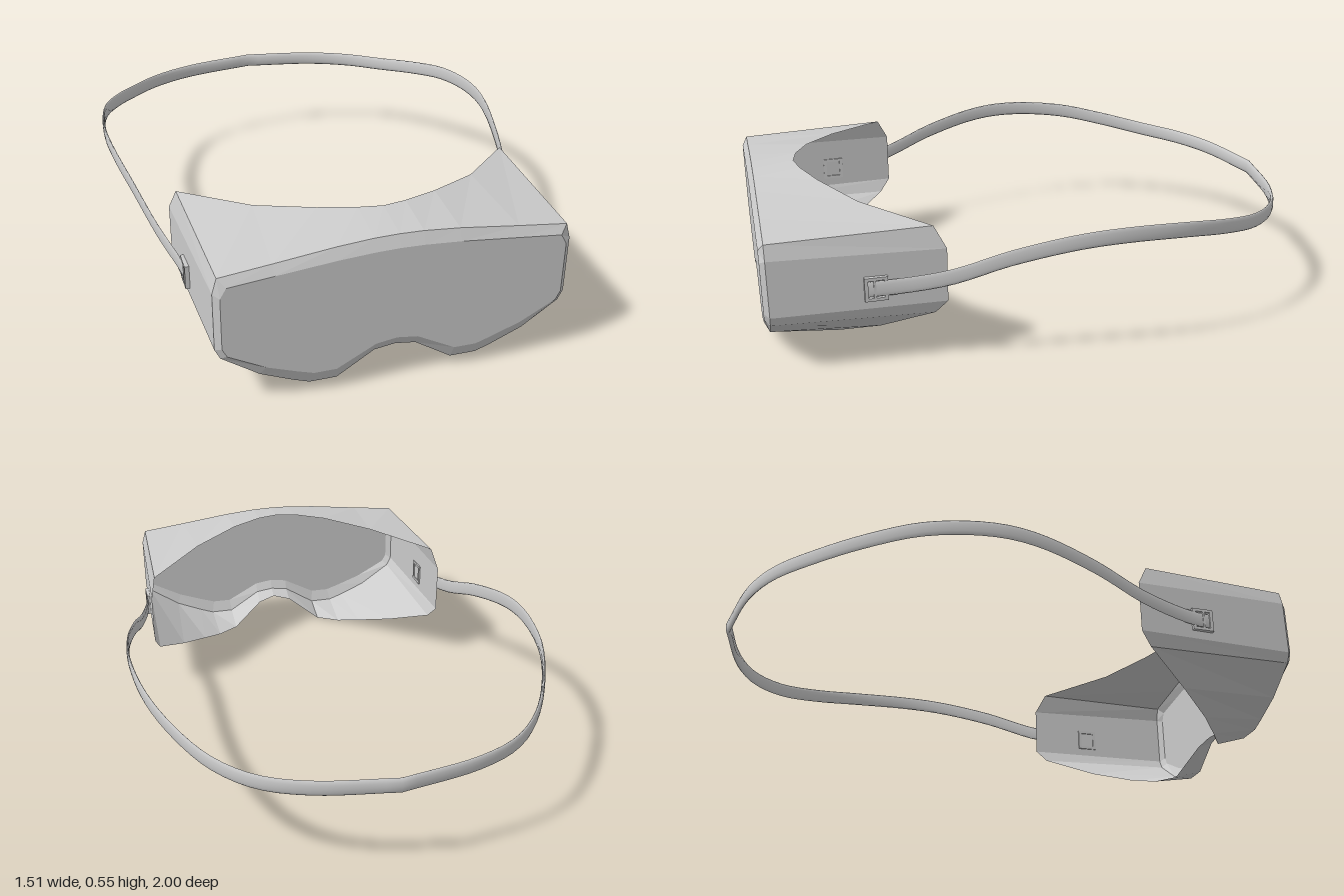
import * as THREE from 'three';

const grey = (opts = {}) => new THREE.MeshStandardMaterial({ color: 0xcccccc, side: THREE.DoubleSide, ...opts });

// Half outlines run from top centre, round the left side, to the nose bridge.
const FACE = [[0, .49], [.08, .488], [.2, .48], [.4, .46], [.545, .445], [.565, .41], [.565, .23],
  [.55, .2], [.43, .135], [.335, .1], [.275, .08], [.2, .08], [.07, .15], [0, .16]]
  .map(([x, y]) => [x, y, 1]);
const RIM = [[0, .53], [.08, .528], [.2, .518], [.4, .493], [.57, .473], [.585, .42], [.585, .22],
  [.568, .185], [.445, .1], [.34, .055], [.285, .035], [.195, .035], [.07, .115], [0, .125]]
  .map(([x, y]) => [x, y, .982]);
const BACK = [[0, .55, .835], [.08, .549, .82], [.2, .54, .77], [.38, .515, .655], [.59, .487, .44],
  [.61, .41, .4], [.61, .22, .4], [.588, .172, .44], [.47, .085, .61], [.36, .03, .74],
  [.28, .004, .81], [.195, 0, .87], [.07, .09, .92], [0, .107, .935]];

// Completes a half outline with its mirror image.
function fullLoop(half) {
  const other = half.slice(1, -1).reverse().map(([x, y, z]) => [-x, y, z]);
  return [...half, ...other];
}

// Joins successive loops (arrays of [x, y, z]) with quads.
function loft(loops, closed = true) {
  const n = loops[0].length, index = [];
  for (let r = 0; r < loops.length - 1; r++) {
    for (let i = 0; i < (closed ? n : n - 1); i++) {
      const a = r * n + i, b = r * n + (i + 1) % n;
      index.push(a, b, b + n, a, b + n, a + n);
    }
  }
  const geo = new THREE.BufferGeometry();
  geo.setAttribute('position', new THREE.Float32BufferAttribute(loops.flat(2), 3));
  geo.setIndex(index);
  geo.computeVertexNormals();
  return geo;
}

// Lens-shaped band swept from one clip, round the back, to the other.
function strapGeometry() {
  const half = [[.604, .292, .665], [.615, .296, .58], [.655, .325, .4], [.702, .392, .2],
    [.743, .44, -.02], [.751, .449, -.18], [.722, .432, -.4], [.655, .398, -.58], [.56, .366, -.74],
    [.44, .354, -.86], [.28, .352, -.935], [0, .352, -.99]];
  const curve = new THREE.CatmullRomCurve3(half.map(p => new THREE.Vector3(...p)));
  const steps = 44, sides = 12, rings = [];
  for (let s = 0; s <= steps; s++) {
    const t = s / steps, p = curve.getPointAt(t), d = curve.getTangentAt(t);
    const out = s === steps ? new THREE.Vector3(0, 0, -1) : new THREE.Vector3(-d.z, 0, d.x).normalize();
    const thick = .004 + .006 * t * t;
    const ring = [];
    for (let i = 0; i < sides; i++) {
      const a = i / sides * Math.PI * 2;
      const o = Math.cos(a) * thick;
      ring.push([p.x + out.x * o, p.y + Math.sin(a) * .028, p.z + out.z * o]);
    }
    rings.push(ring);
  }
  const mirrored = rings.slice(0, -1).reverse().map(r => r.map(([x, y, z]) => [-x, y, z]));
  return loft([...rings, ...mirrored]);
}

// Rectangular buckle frame with a slot, lying in the side wall.
function clipGeometry() {
  const rect = (P, w, h) => {
    const p = new P();
    p.moveTo(-w, -h); p.lineTo(w, -h); p.lineTo(w, h); p.lineTo(-w, h); p.closePath();
    return p;
  };
  const shape = rect(THREE.Shape, .039, .042);
  shape.holes.push(rect(THREE.Path, .027, .031));
  const geo = new THREE.ExtrudeGeometry(shape, { depth: .018, bevelEnabled: false });
  geo.translate(0, 0, -.009);
  geo.rotateY(Math.PI / 2);
  return geo;
}

export function createModel() {
  const model = new THREE.Group();
  const add = (name, geo, mat, parent = model) => {
    const mesh = new THREE.Mesh(geo, mat);
    mesh.name = name;
    parent.add(mesh);
    return mesh;
  };

  // Mask: flat lens panel, narrow bevel and open-backed shell
  const mask = new THREE.Group();
  mask.name = 'mask';
  model.add(mask);
  const [face, rim, back] = [FACE, RIM, BACK].map(fullLoop);
  const flat = grey({ flatShading: true });
  const panel = new THREE.ShapeGeometry(new THREE.Shape(face.map(([x, y]) => new THREE.Vector2(x, y))));
  panel.translate(0, 0, 1);
  add('lensPanel', panel, flat, mask);
  add('lensBevel', loft([face, rim]), flat, mask);
  add('shell', loft([rim, back]), flat, mask);

  // Head strap
  add('strap', strapGeometry(), grey());

  // Strap clips, with a crossbar each
  for (const side of [1, -1]) {
    const clip = new THREE.Group();
    clip.name = side > 0 ? 'leftClip' : 'rightClip';
    clip.position.set(side * .604, .293, .637);
    add('clipFrame', clipGeometry(), flat, clip);
    const bar = add('clipBar', new THREE.BoxGeometry(.012, .062, .008), flat, clip);
    bar.position.set(side * .003, 0, .005);
    model.add(clip);
  }
  return model;
}
